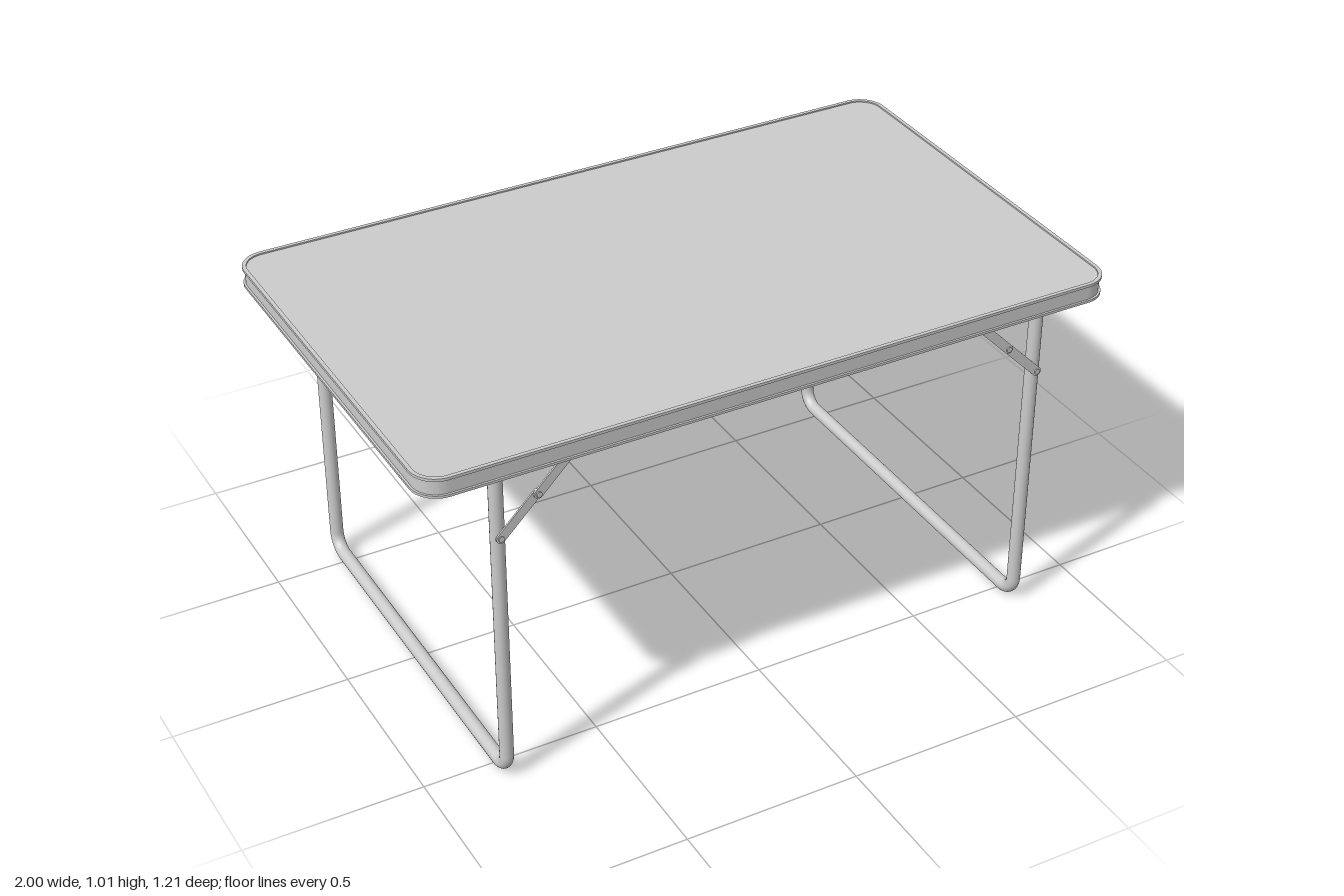
import * as THREE from 'three';

const material = new THREE.MeshStandardMaterial({ color: 0xcccccc });

function add(parent, name, geometry) {
  const mesh = new THREE.Mesh(geometry, material);
  mesh.name = name;
  parent.add(mesh);
  return mesh;
}

// Rounded rectangle, inset from the outer edge of the table top
function outline(inset, Type = THREE.Shape) {
  const x = 1 - inset, z = 0.605 - inset, r = 0.075 - inset;
  const s = new Type();
  s.moveTo(-x + r, -z);
  s.lineTo(x - r, -z);
  s.absarc(x - r, -z + r, r, -Math.PI / 2, 0);
  s.lineTo(x, z - r);
  s.absarc(x - r, z - r, r, 0, Math.PI / 2);
  s.lineTo(-x + r, z);
  s.absarc(-x + r, z - r, r, Math.PI / 2, Math.PI);
  s.lineTo(-x, -z + r);
  s.absarc(-x + r, -z + r, r, Math.PI, Math.PI * 1.5);
  return s;
}

// Horizontal slab from y0 to y1, optionally hollowed into a ring
function slab(outer, inner, y0, y1) {
  const shape = outline(outer);
  if (inner) shape.holes.push(outline(inner, THREE.Path));
  const g = new THREE.ExtrudeGeometry(shape, { depth: y1 - y0, bevelEnabled: false, curveSegments: 10 });
  return g.rotateX(-Math.PI / 2).translate(0, y0, 0);
}

// Flat bar with round ends between two points in the xy plane
function link(a, b, z, thickness) {
  const r = 0.013, length = a.distanceTo(b);
  const s = new THREE.Shape();
  s.absarc(0, 0, r, Math.PI / 2, Math.PI * 1.5);
  s.absarc(length, 0, r, -Math.PI / 2, Math.PI / 2);
  const g = new THREE.ExtrudeGeometry(s, { depth: thickness, bevelEnabled: false, curveSegments: 10 });
  return g.rotateZ(Math.atan2(b.y - a.y, b.x - a.x)).translate(a.x, a.y, z);
}

function rivet(p, z0, z1) {
  return new THREE.CylinderGeometry(0.008, 0.008, z1 - z0, 14)
    .rotateX(Math.PI / 2).translate(p.x, p.y, (z0 + z1) / 2);
}

// U-shaped tube: down one side, across the floor, up the other
function legFrame(x) {
  const r = 0.019, z = 0.561, bend = 0.052;
  const v = (y, zz) => new THREE.Vector3(x, y, zz);
  const path = new THREE.CurvePath();
  const corner = side => {
    const pts = [];
    for (let i = 0; i <= 10; i++) {
      const t = (i / 10) * Math.PI / 2;
      pts.push(v(r + bend - bend * Math.sin(t), side * (z - bend + bend * Math.cos(t))));
    }
    return side > 0 ? pts : pts.reverse();
  };
  const points = [v(0.99, z), ...corner(1), ...corner(-1), v(0.99, -z)];
  for (let i = 1; i < points.length; i++) path.add(new THREE.LineCurve3(points[i - 1], points[i]));
  // Sample each straight run once so that the bends stay crisp
  path.getPointAt = u => {
    const f = u * (points.length - 1), i = Math.min(Math.floor(f), points.length - 2);
    return points[i].clone().lerp(points[i + 1], f - i);
  };
  path.getTangentAt = u => {
    const i = Math.round(u * (points.length - 1));
    const a = points[Math.max(i - 1, 0)], b = points[Math.min(i + 1, points.length - 1)];
    const d1 = points[i].clone().sub(a).normalize(), d2 = b.clone().sub(points[i]).normalize();
    return d1.add(d2).normalize();
  };
  return new THREE.TubeGeometry(path, points.length - 1, r, 18, false);
}

export function createModel() {
  const model = new THREE.Group();
  model.name = 'foldingTable';

  // Table top: thin panel held in a channel-shaped rim
  const top = new THREE.Group();
  top.name = 'tableTop';
  model.add(top);
  add(top, 'panel', slab(0.009, 0, 0.988, 1.007));
  add(top, 'rimWall', slab(0.006, 0.01, 0.957, 1.005));
  add(top, 'upperLip', slab(0, 0.011, 1.003, 1.011));
  add(top, 'lowerLip', slab(0, 0.011, 0.955, 0.962));

  for (const sx of [-1, 1]) {
    add(model, sx > 0 ? 'leftLegFrame' : 'rightLegFrame', legFrame(sx * 0.79));

    // Two-link folding braces on the outside of each leg
    for (const sz of [-1, 1]) {
      const brace = new THREE.Group();
      brace.name = 'foldingBrace';
      model.add(brace);
      const foot = new THREE.Vector2(sx * 0.79, 0.77);
      const joint = new THREE.Vector2(sx * 0.688, 0.873);
      const head = new THREE.Vector2(sx * 0.585, 0.978);
      const place = (z, t) => (sz > 0 ? z : -z - t);
      add(brace, 'lowerLink', link(foot, joint, place(0.58, 0.005), 0.005));
      add(brace, 'upperLink', link(joint, head, place(0.586, 0.005), 0.005));
      const pin = (p, a, b) => (sz > 0 ? rivet(p, a, b) : rivet(p, -b, -a));
      add(brace, 'legRivet', pin(foot, 0.57, 0.588));
      add(brace, 'jointRivet', pin(joint, 0.578, 0.595));
      add(brace, 'rimRivet', pin(head, 0.583, 0.597));
    }
  }
  return model;
}
